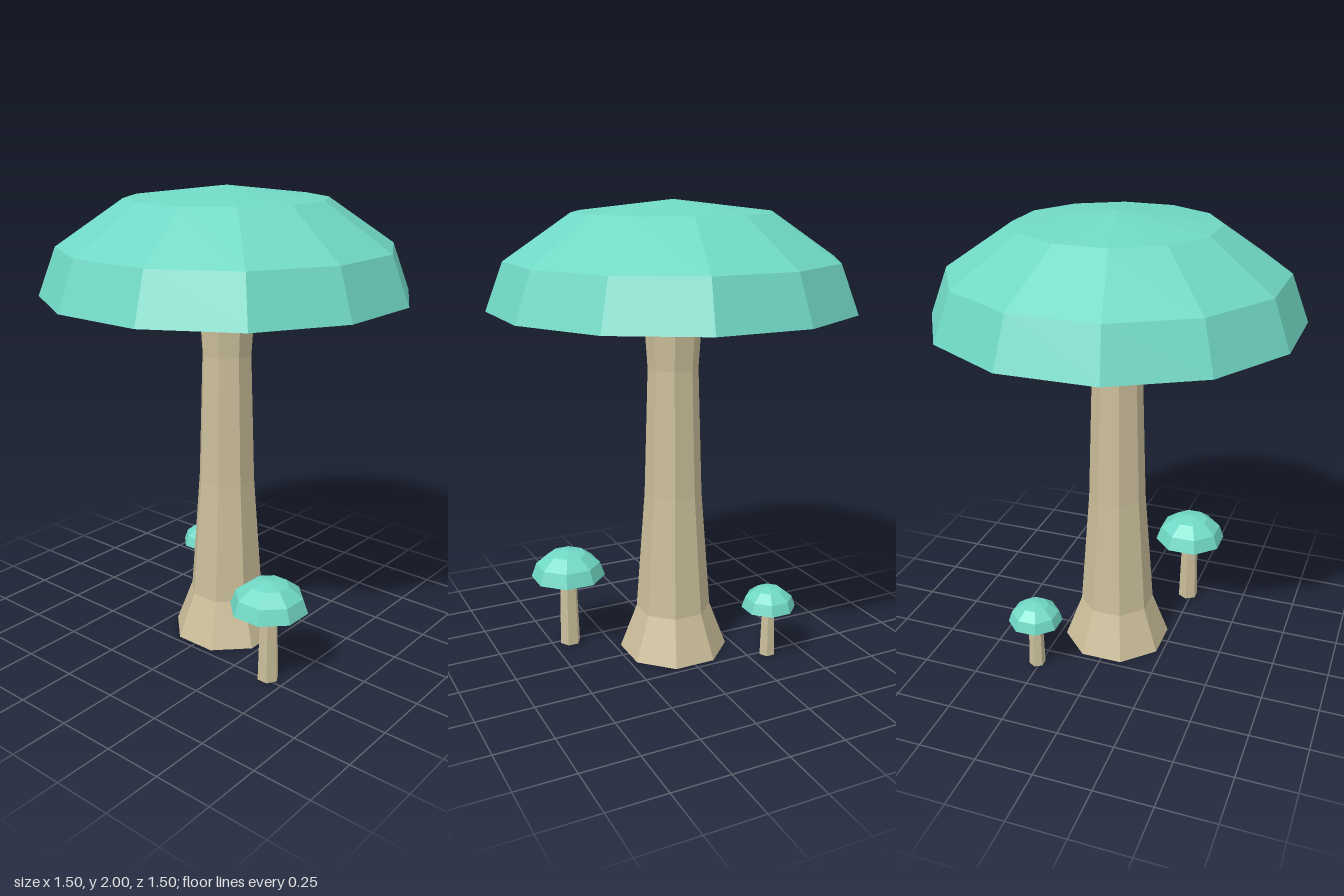
import * as THREE from 'three';

const capTeal = new THREE.MeshStandardMaterial({ color: 0x70d8c4, flatShading: true });
capTeal.name = 'capTeal';
const stemCream = new THREE.MeshStandardMaterial({ color: 0xcbbe9a, flatShading: true });
stemCream.name = 'stemCream';

// Faceted solid of revolution; profile runs upwards, turned so a flat side or corner faces front
function turned(name, profile, sides, startAngle, material) {
  const points = profile.map(([r, y]) => new THREE.Vector2(r, y));
  const mesh = new THREE.Mesh(new THREE.LatheGeometry(points, sides, startAngle), material);
  mesh.name = name;
  return mesh;
}

function largeMushroom() {
  const group = new THREE.Group();
  group.name = 'largeMushroom';
  // Flared stem
  group.add(turned('stem', [
    [0, 0], [0.241, 0], [0.166, 0.2], [0.126, 0.74], [0.109, 1.3], [0.121, 1.48], [0, 1.48],
  ], 8, Math.PI / 8, stemCream));
  // Shallow cone under the cap
  group.add(turned('gills', [[0, 1.47], [0.12, 1.472], [0.655, 1.56]], 12, Math.PI / 12, stemCream));
  // Domed cap with a flat underside rim
  group.add(turned('cap', [
    [0.655, 1.56], [0.776, 1.56], [0.7, 1.76], [0.42, 1.95], [0, 2],
  ], 12, Math.PI / 12, capTeal));
  return group;
}

function smallMushroom(name, x, z, rimY, topY, capR, baseR, neckR) {
  const group = new THREE.Group();
  group.name = name;
  const h = topY - rimY;
  group.add(turned('smallStem', [
    [0, 0], [baseR, 0], [neckR, rimY + 0.01], [0, rimY + 0.01],
  ], 6, Math.PI / 6, stemCream));
  group.add(turned('smallCap', [
    [0, rimY], [capR, rimY], [capR * 0.866, rimY + h * 0.5], [capR * 0.5, rimY + h * 0.866], [0, topY],
  ], 8, Math.PI / 8, capTeal));
  group.position.set(x, 0, z);
  return group;
}

export function createModel() {
  const model = new THREE.Group();
  model.name = 'mushroomCluster';
  model.add(
    largeMushroom(),
    smallMushroom('leftSmallMushroom', 0.418, 0.232, 0.33, 0.455, 0.166, 0.047, 0.038),
    smallMushroom('rightSmallMushroom', -0.344, -0.265, 0.23, 0.325, 0.12, 0.037, 0.03),
  );
  return model;
}
